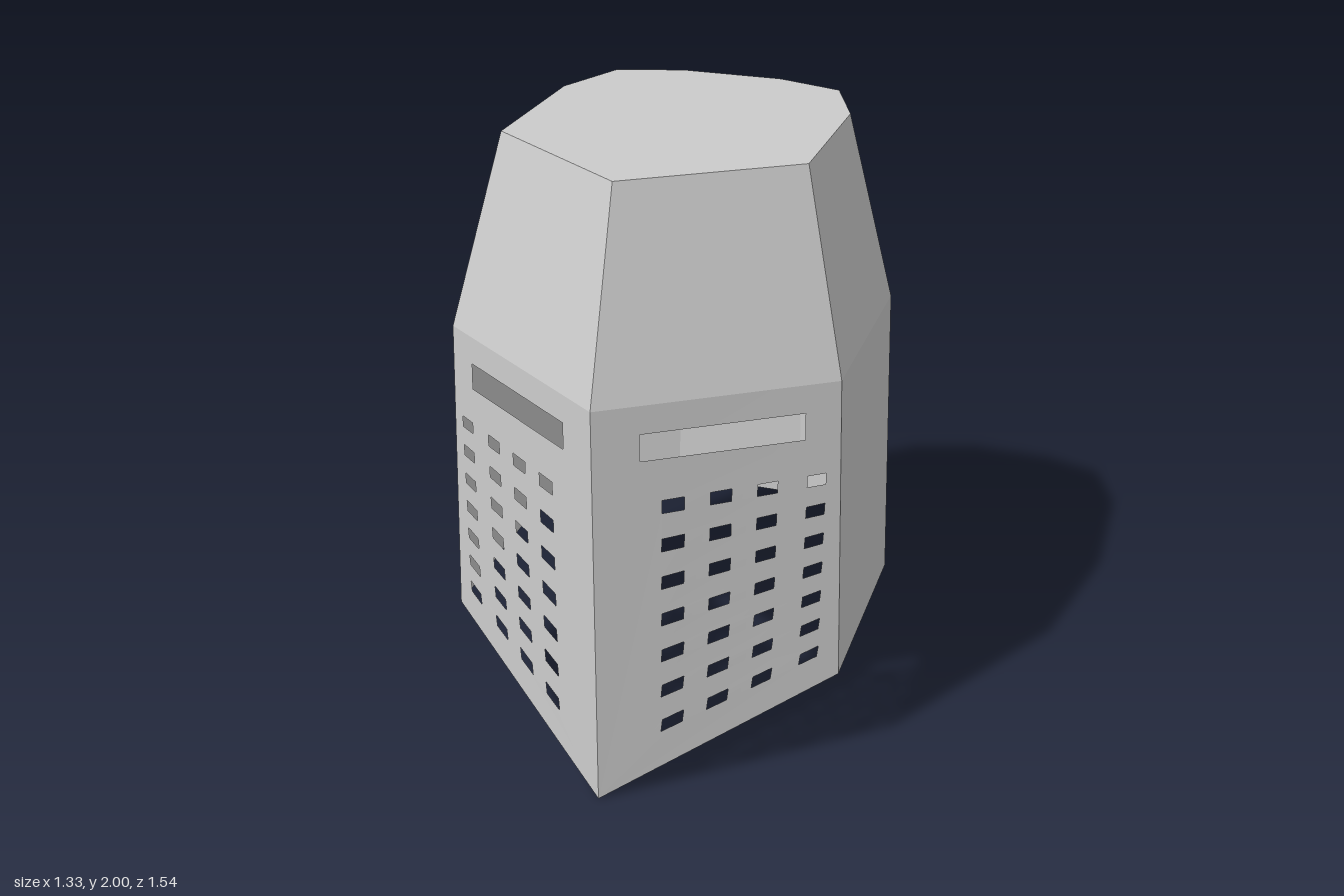
import * as THREE from 'three';

// half outlines of the shell from front ridge to back, as [x, y, z]
const CROWN = [[0, 2, 0.55], [0.48, 2, 0.225], [0.48, 2, -0.285], [0.385, 2, -0.525], [0.17, 2, -0.592]];
const BROW = [[0, 1.38, 0.76], [0.63, 1.38, 0.33], [0.63, 1.38, -0.35], [0.53, 1.37, -0.63], [0.23, 1.36, -0.76]];
const RIM = [[0, 0, 0.77], [0.665, 0.34, 0.33], [0.665, 0.345, -0.36], [0.57, 0.345, -0.64], [0.24, 0.34, -0.77]];

// close a half outline by mirroring it
const ring = (half) => [...half, ...half.slice(1).reverse().map(([x, y, z]) => [-x, y, z])];

function facets(positions) {
  const g = new THREE.BufferGeometry();
  g.setAttribute('position', new THREE.Float32BufferAttribute(positions.flat(), 3));
  g.computeVertexNormals();
  return g;
}

// flat panels between two rings, for sides first..last
function band(upper, lower, first, last) {
  const p = [];
  for (let i = first; i <= last; i++) {
    const j = (i + 1) % upper.length;
    p.push(upper[i], lower[i], lower[j], upper[i], lower[j], upper[j]);
  }
  return facets(p);
}

// pierced face panel on one side (s = 1 left, -1 right)
function facePanel(s) {
  const outline = (pts) => pts.map(([x, y]) => new THREE.Vector2(s * x, y));
  const shape = new THREE.Shape(outline([[0, 0], [0.665, 0.34], [0.63, 1.38], [0, 1.38]]));
  const addHole = (pts) => shape.holes.push(new THREE.Path(outline(pts)));

  // eye slit
  addHole([[0.12, 1.2], [0.542, 1.2], [0.54, 1.288], [0.12, 1.288]]);

  // breathing holes: rows fan out to follow the pointed rim
  const columns = [0.204, 0.327, 0.448, 0.577];
  for (let r = 0; r < 7; r++) {
    const inner = 1.04 - r * 0.13;
    const slope = (1.058 - r * 0.105 - inner) / (columns[3] - columns[0]);
    columns.forEach((x, c) => {
      const y = inner + slope * (x - columns[0]);
      const w = 0.029 - c * 0.0015, h = 0.022 - c * 0.001;
      const lean = -0.002 * r / 6;
      addHole([[-w, -h], [w, -h], [w, h], [-w, h]].map(([dx, dy]) =>
        [x + dx - lean * Math.sign(dy), y + dy + slope * dx]));
    });
  }

  // fold the flat panel back from the centre ridge
  const g = new THREE.ShapeGeometry(shape);
  const p = g.attributes.position;
  for (let i = 0; i < p.count; i++) {
    const drop = 1.38 - p.getY(i);
    const ridge = 0.76 + 0.01 * drop / 1.38;
    const edge = 0.63 + 0.035 * drop / 1.04;
    p.setZ(i, ridge + (0.33 - ridge) * Math.abs(p.getX(i)) / edge);
  }
  g.computeVertexNormals();
  return g;
}

export function createModel() {
  const group = new THREE.Group();
  const flat = new THREE.MeshStandardMaterial({ color: 0xcccccc, flatShading: true, side: THREE.DoubleSide });
  const smooth = new THREE.MeshStandardMaterial({ color: 0xcccccc, side: THREE.DoubleSide });
  const add = (name, geometry, material = flat) => {
    const mesh = new THREE.Mesh(geometry, material);
    mesh.name = name;
    group.add(mesh);
  };

  const crown = ring(CROWN), brow = ring(BROW), rim = ring(RIM);

  // flat top
  add('topPlate', facets(crown.flatMap((a, i) => [[0, 2, 0], a, crown[(i + 1) % crown.length]])));
  // tapered upper shell, all the way round
  add('upperShell', band(crown, brow, 0, crown.length - 1));
  // sides and back below the brow
  add('lowerShell', band(brow, rim, 1, brow.length - 2));
  // pierced face
  add('leftFacePanel', facePanel(1), smooth);
  add('rightFacePanel', facePanel(-1), smooth);
  return group;
}
